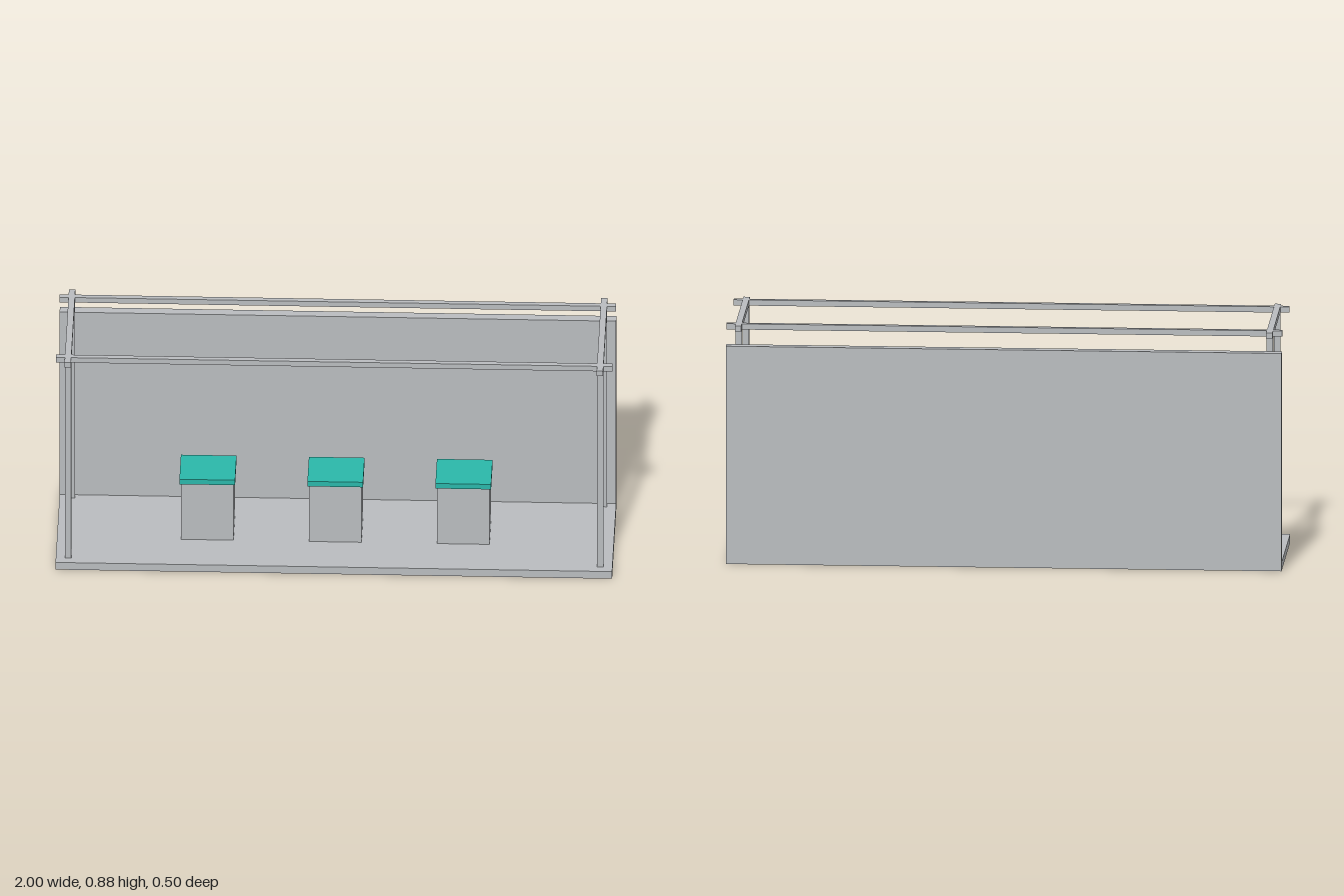
import * as THREE from 'three';

export function createModel() {
  const model = new THREE.Group();
  model.name = 'exhibitionBooth';

  const grey = new THREE.MeshStandardMaterial({ color: 0xb9bcbf });
  grey.name = 'light grey';
  const teal = new THREE.MeshStandardMaterial({ color: 0x2ab7a9 });
  teal.name = 'teal';

  // Box given by its size, centre x and z, and bottom height
  function addBox(name, [w, h, d], [x, bottom, z], material = grey, parent = model) {
    const mesh = new THREE.Mesh(new THREE.BoxGeometry(w, h, d), material);
    mesh.name = name;
    mesh.position.set(x, bottom + h / 2, z);
    parent.add(mesh);
    return mesh;
  }

  // Floor and back wall: one L-shaped profile (drawn as -z, y) swept along x
  const profile = new THREE.Shape([
    [-0.25, 0], [0.25, 0], [0.25, 0.8], [0.215, 0.8], [0.215, 0.03], [-0.25, 0.03],
  ].map(([a, b]) => new THREE.Vector2(a, b)));
  const shell = new THREE.ExtrudeGeometry(profile, { depth: 2, bevelEnabled: false });
  shell.translate(0, 0, -1).rotateY(Math.PI / 2);
  const floorAndWall = new THREE.Mesh(shell, grey);
  floorAndWall.name = 'floorAndBackWall';
  model.add(floorAndWall);

  // Frame: four posts, two long beams and two cross beams overlapping at the corners
  const frame = new THREE.Group();
  frame.name = 'frame';
  model.add(frame);
  const bar = 0.023, floorTop = 0.03, beamBottom = 0.854, beamHeight = 0.021;
  const postX = 0.956, postZ = [0.207, -0.204];
  for (const z of postZ) {
    addBox('longBeam', [2, beamHeight, 0.02], [0, beamBottom, z], grey, frame);
    for (const side of [-1, 1]) {
      addBox('post', [bar, beamBottom - floorTop, bar], [side * postX, floorTop, z], grey, frame);
    }
  }
  for (const side of [-1, 1]) {
    addBox('crossBeam', [bar, beamHeight, 0.5], [side * postX, beamBottom, 0], grey, frame);
  }

  // Three display plinths with coloured tops
  for (const x of [-0.46, 0, 0.46]) {
    const plinth = new THREE.Group();
    plinth.name = 'plinth';
    model.add(plinth);
    addBox('plinthBody', [0.188, 0.236, 0.156], [x, floorTop, 0], grey, plinth);
    addBox('plinthTop', [0.2, 0.021, 0.168], [x, 0.266, 0], teal, plinth);
  }

  return model;
}
